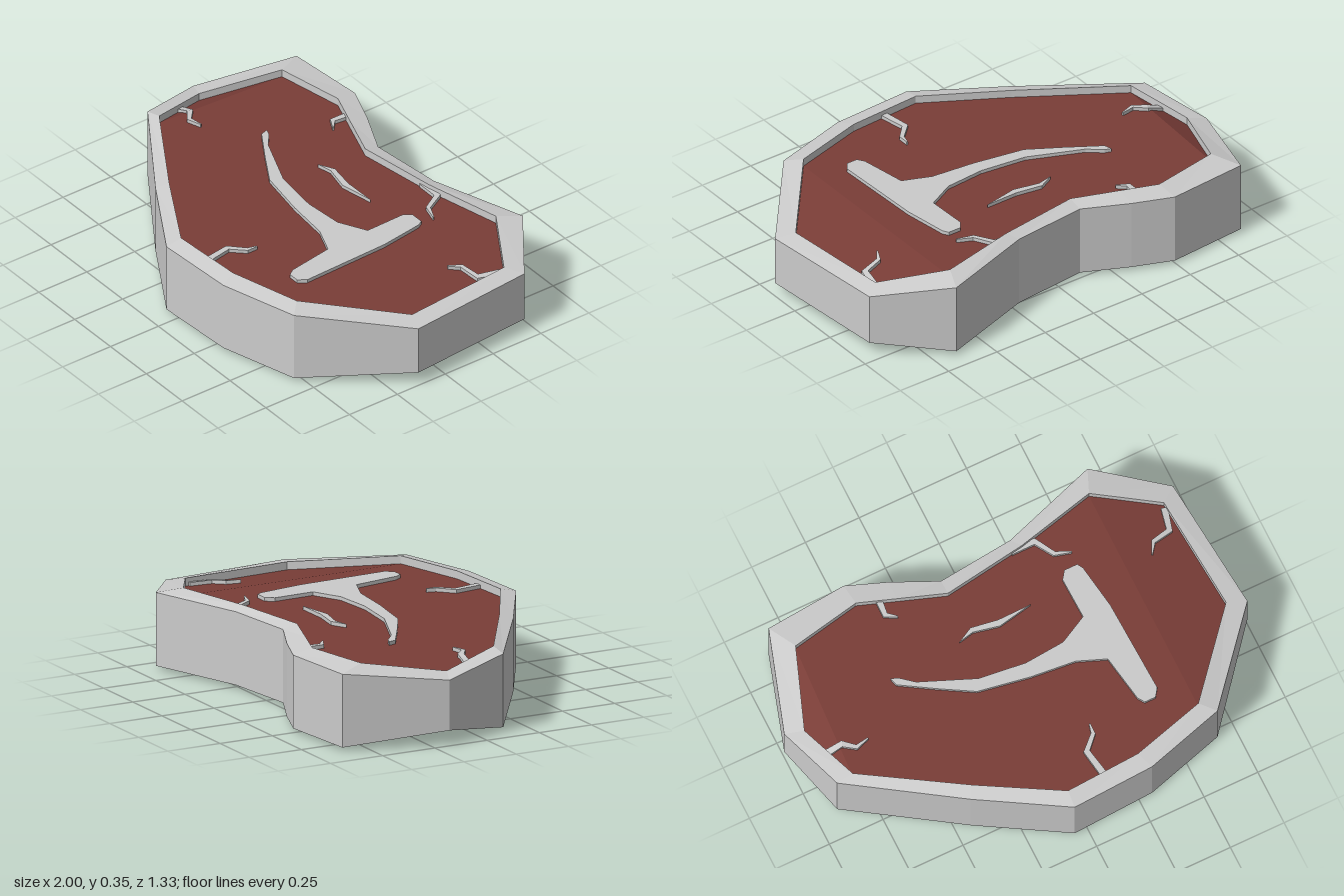
import * as THREE from 'three';

const MID = 0.176; // half thickness: everything is mirrored about this height

// Outer outline [x, z, half height] and inner rim outline [x, z], in matching order
const OUTER = [
  [-0.86, -0.615, 0.159], [-0.495, -0.647, 0.159], [-0.32, -0.58, 0.159], [-0.12, -0.487, 0.159],
  [0.22, -0.523, 0.159], [0.65, -0.667, 0.159], [0.945, -0.455, 0.115], [1, 0.14, 0.111],
  [0.665, 0.54, 0.159], [0.31, 0.643, 0.159], [-0.06, 0.663, 0.159], [-0.435, 0.44, 0.159],
  [-0.905, 0.13, 0.159], [-1, -0.18, 0.109],
];
const INNER = [
  [-0.795, -0.49], [-0.485, -0.55], [-0.32, -0.491], [-0.12, -0.42], [0.25, -0.475],
  [0.605, -0.56], [0.875, -0.4], [0.915, 0.11], [0.605, 0.48], [0.28, 0.57],
  [-0.055, 0.59], [-0.405, 0.39], [-0.83, 0.125], [-0.92, -0.15],
];
const BONE = [
  [-0.5, -0.19], [-0.47, -0.18], [-0.41, -0.13], [-0.17, -0.03], [0.04, -0.005], [0.22, -0.02],
  [0.345, -0.085], [0.34, -0.27], [0.365, -0.305], [0.425, -0.305], [0.44, -0.28], [0.47, -0.08],
  [0.485, 0.335], [0.46, 0.37], [0.41, 0.37], [0.39, 0.34], [0.355, 0.13], [0.23, 0.08],
  [0.03, 0.06], [-0.2, 0.02], [-0.345, -0.065], [-0.49, -0.155],
];
const CENTRE_VEIN = [
  [-0.17, -0.21], [-0.1, -0.247], [0.02, -0.228], [0.17, -0.23], [0.015, -0.2], [-0.1, -0.225],
];
// Centre lines of the veins that run in from the rim
const VEINS = [
  [[-0.39, -0.53], [-0.395, -0.455], [-0.35, -0.425]],
  [[0.2, -0.478], [0.31, -0.475], [0.36, -0.39], [0.43, -0.365]],
  [[0.87, -0.385], [0.845, -0.285], [0.76, -0.265], [0.73, -0.215]],
  [[-0.88, -0.02], [-0.81, -0.02], [-0.76, 0.02], [-0.7, 0.005]],
  [[0.115, 0.58], [0.095, 0.46], [0.155, 0.4], [0.16, 0.355]],
];

// How far the faces slope towards the middle near the two ends
const drop = (x) => Math.max(0, 0.165 * (x - 0.605), 0.55 * (-0.83 - x));

// Flat or raised piece on the top (side = 1) or bottom (side = -1)
function facePiece(points, side, low, high) {
  const shape = new THREE.Shape(points.map(([x, z]) => new THREE.Vector2(x, -side * z)));
  const g = high > low
    ? new THREE.ExtrudeGeometry(shape, { depth: high - low, bevelEnabled: false })
    : new THREE.ShapeGeometry(shape);
  g.rotateX(-side * Math.PI / 2);
  const p = g.attributes.position;
  for (let i = 0; i < p.count; i++) {
    p.setY(i, MID + p.getY(i) + side * (low - drop(p.getX(i))));
  }
  g.computeVertexNormals();
  return g;
}

// Tapered strip outline around a centre line
function strip(path, width) {
  const left = [], right = [];
  path.forEach(([x, z], i) => {
    const a = path[Math.max(i - 1, 0)], b = path[Math.min(i + 1, path.length - 1)];
    const dx = b[0] - a[0], dz = b[1] - a[1], len = Math.hypot(dx, dz);
    const w = (width / 2) * (1 - 0.8 * (i / (path.length - 1)) ** 2);
    left.push([x - dz / len * w, z + dx / len * w]);
    right.unshift([x + dz / len * w, z - dx / len * w]);
  });
  return [...left, ...right];
}

// Rim and side wall, lofted from the top recess round the outside to the bottom recess
function rimGeometry() {
  const innerRing = (side, h) => INNER.map(([x, z]) => [x, MID + side * (h - drop(x)), z]);
  const outerRing = (side) => OUTER.map(([x, z, h]) => [x, MID + side * h, z]);
  const rings = [
    innerRing(1, 0.139), innerRing(1, 0.176), outerRing(1),
    outerRing(-1), innerRing(-1, 0.176), innerRing(-1, 0.139),
  ];
  const pos = [], n = OUTER.length;
  for (let r = 0; r < rings.length - 1; r++) {
    for (let i = 0; i < n; i++) {
      const j = (i + 1) % n;
      const a = rings[r][i], b = rings[r][j], c = rings[r + 1][i], d = rings[r + 1][j];
      pos.push(...a, ...b, ...d, ...a, ...d, ...c);
    }
  }
  const g = new THREE.BufferGeometry();
  g.setAttribute('position', new THREE.Float32BufferAttribute(pos, 3));
  g.computeVertexNormals();
  return g;
}

export function createModel() {
  const model = new THREE.Group();
  model.name = 'steak';
  const fat = new THREE.MeshStandardMaterial({ color: 0xcccccc, flatShading: true });
  const meat = new THREE.MeshStandardMaterial({ color: 0x7a3d37, flatShading: true });
  const add = (parent, name, geometry, material) => {
    const mesh = new THREE.Mesh(geometry, material);
    mesh.name = name;
    parent.add(mesh);
  };

  add(model, 'fatRim', rimGeometry(), fat);

  // Meat face is folded along two lines: left corner, flat middle, right slope
  const facets = [[12, 13, 0], [0, 1, 2, 3, 4, 5, 8, 9, 10, 11, 12], [5, 6, 7, 8]];
  for (const side of [1, -1]) {
    const face = new THREE.Group();
    face.name = side > 0 ? 'topFace' : 'bottomFace';
    model.add(face);
    for (const f of facets) {
      add(face, 'meat', facePiece(f.map((i) => INNER[i]), side, 0.141, 0.141), meat);
    }
    add(face, 'bone', facePiece(BONE, side, 0.13, 0.157), fat);
    add(face, 'centreVein', facePiece(CENTRE_VEIN, side, 0.13, 0.157), fat);
    for (const v of VEINS) add(face, 'vein', facePiece(strip(v, 0.03), side, 0.13, 0.157), fat);
  }
  return model;
}
